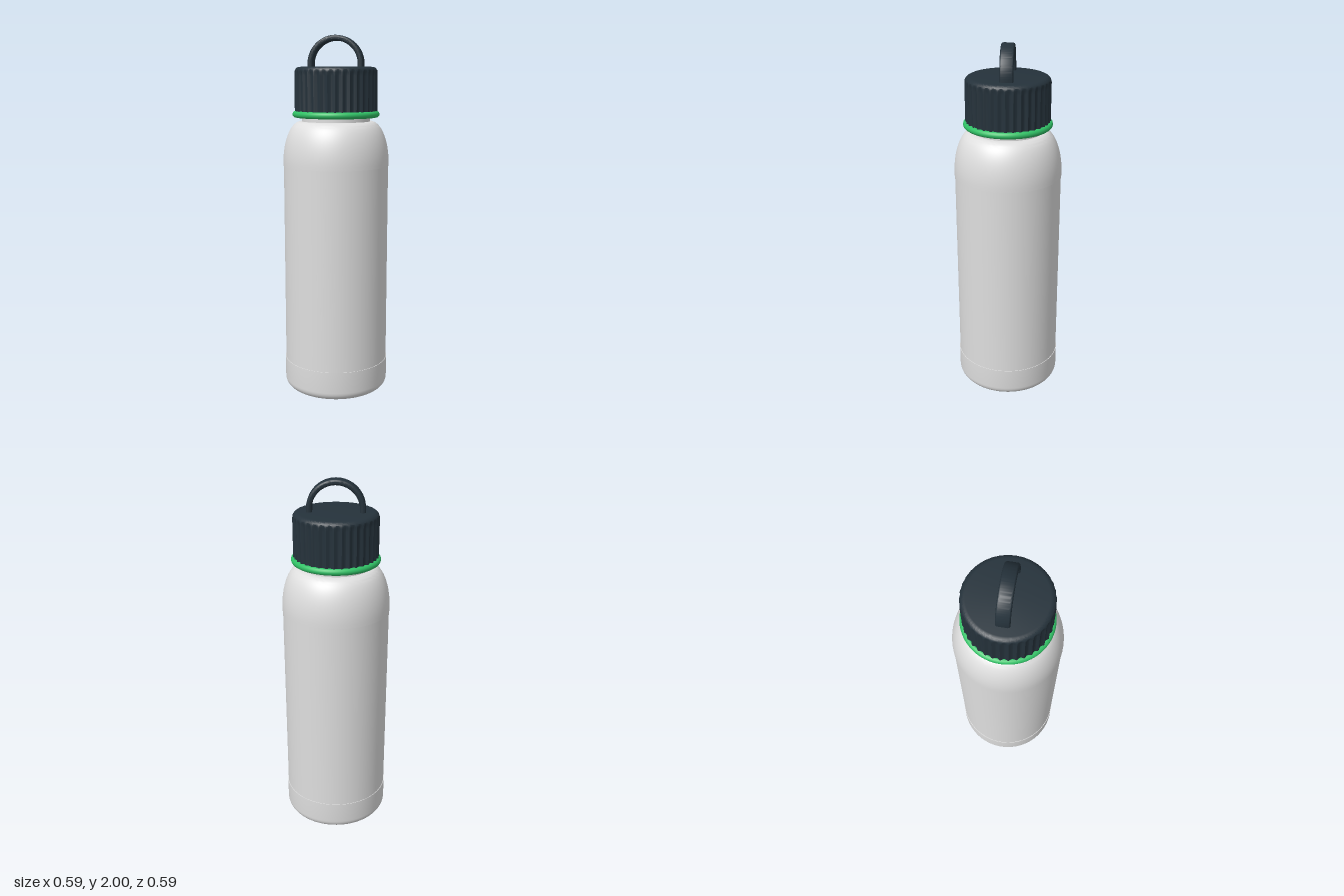
import * as THREE from 'three';
import { toCreasedNormals } from 'three/addons/utils/BufferGeometryUtils.js';

const steel = new THREE.MeshStandardMaterial({ color: 0xdedede });
steel.name = 'paleSteel';
const dark = new THREE.MeshStandardMaterial({ color: 0x25323b });
dark.name = 'darkPlastic';
const green = new THREE.MeshStandardMaterial({ color: 0x30c065 });
green.name = 'greenRubber';

function addMesh(group, name, geometry, material) {
  const mesh = new THREE.Mesh(geometry, material);
  mesh.name = name;
  group.add(mesh);
}

// Points along an elliptical quarter arc, from the side (angle 0) to the top
function arc(cx, cy, rx, ry, from, to, steps) {
  return Array.from({ length: steps + 1 }, (_, i) => {
    const a = from + ((to - from) * i) / steps;
    return [cx + rx * Math.cos(a), cy + ry * Math.sin(a)];
  });
}

function lathe(points, segments = 96) {
  return new THREE.LatheGeometry(points.map(([r, y]) => new THREE.Vector2(r, y)), segments);
}

const turned = (points) => toCreasedNormals(lathe(points), 0.6);
const Q = Math.PI / 2;

// Screw cap with scalloped grips that fade out below the rounded top edge
function capGeometry() {
  const geometry = lathe([
    [0, 1.588], [0.229, 1.588], [0.229, 1.78],
    ...arc(0.199, 1.8, 0.03, 0.03, 0, Q, 6), [0, 1.83],
  ], 360);
  const p = geometry.attributes.position;
  for (let i = 0; i < p.count; i++) {
    const x = p.getX(i), z = p.getZ(i), r = Math.hypot(x, z);
    if (r < 0.222) continue;
    const groove = 0.011 * Math.max(0, Math.abs(Math.sin(18 * Math.atan2(x, z))) - 0.2);
    const fade = 1 - THREE.MathUtils.smoothstep(p.getY(i), 1.79, 1.82);
    const k = (r - groove * fade) / r;
    p.setX(i, x * k);
    p.setZ(i, z * k);
  }
  return toCreasedNormals(geometry, 0.45);
}

// Arched carrying loop with softened edges
function loopGeometry() {
  const outer = 0.155, inner = 0.125, cy = 1.845, foot = 1.8, bevel = 0.012;
  const shape = new THREE.Shape();
  shape.moveTo(outer, foot);
  shape.lineTo(outer, cy);
  shape.absarc(0, cy, outer, 0, Math.PI, false);
  shape.lineTo(-outer, foot);
  shape.lineTo(-inner, foot);
  shape.lineTo(-inner, cy);
  shape.absarc(0, cy, inner, Math.PI, 0, true);
  shape.lineTo(inner, foot);
  const geometry = new THREE.ExtrudeGeometry(shape, {
    depth: 0.048, bevelThickness: bevel, bevelSize: bevel, bevelOffset: -bevel,
    bevelSegments: 4, curveSegments: 40,
  });
  geometry.translate(0, 0, -0.024);
  return toCreasedNormals(geometry, 0.6);
}

export function createModel() {
  const group = new THREE.Group();
  group.name = 'waterBottle';

  // Base cup with a rounded foot
  addMesh(group, 'base', turned([
    [0, 0], ...arc(0.245, 0.05, 0.05, 0.05, -Q, 0, 8), [0.295, 0.172], [0.28, 0.172],
  ]), steel);

  // Straight wall, set in slightly from base and shoulder
  addMesh(group, 'bodySleeve', turned([[0.292, 0.165], [0.292, 1.3]]), steel);

  // Domed shoulder
  addMesh(group, 'shoulder', turned([
    [0.28, 1.29], [0.295, 1.29],
    ...arc(0.195, 1.3, 0.1, 0.235, 0.04, Q, 20), [0.18, 1.535],
  ]), steel);

  // Neck under the cap
  addMesh(group, 'neck', turned([[0.19, 1.52], [0.19, 1.6]]), steel);

  // Sealing ring
  const ring = new THREE.TorusGeometry(0.223, 0.018, 16, 96);
  ring.rotateX(Q);
  ring.translate(0, 1.574, 0);
  addMesh(group, 'sealRing', ring, green);

  addMesh(group, 'cap', capGeometry(), dark);
  addMesh(group, 'carryLoop', loopGeometry(), dark);
  return group;
}
